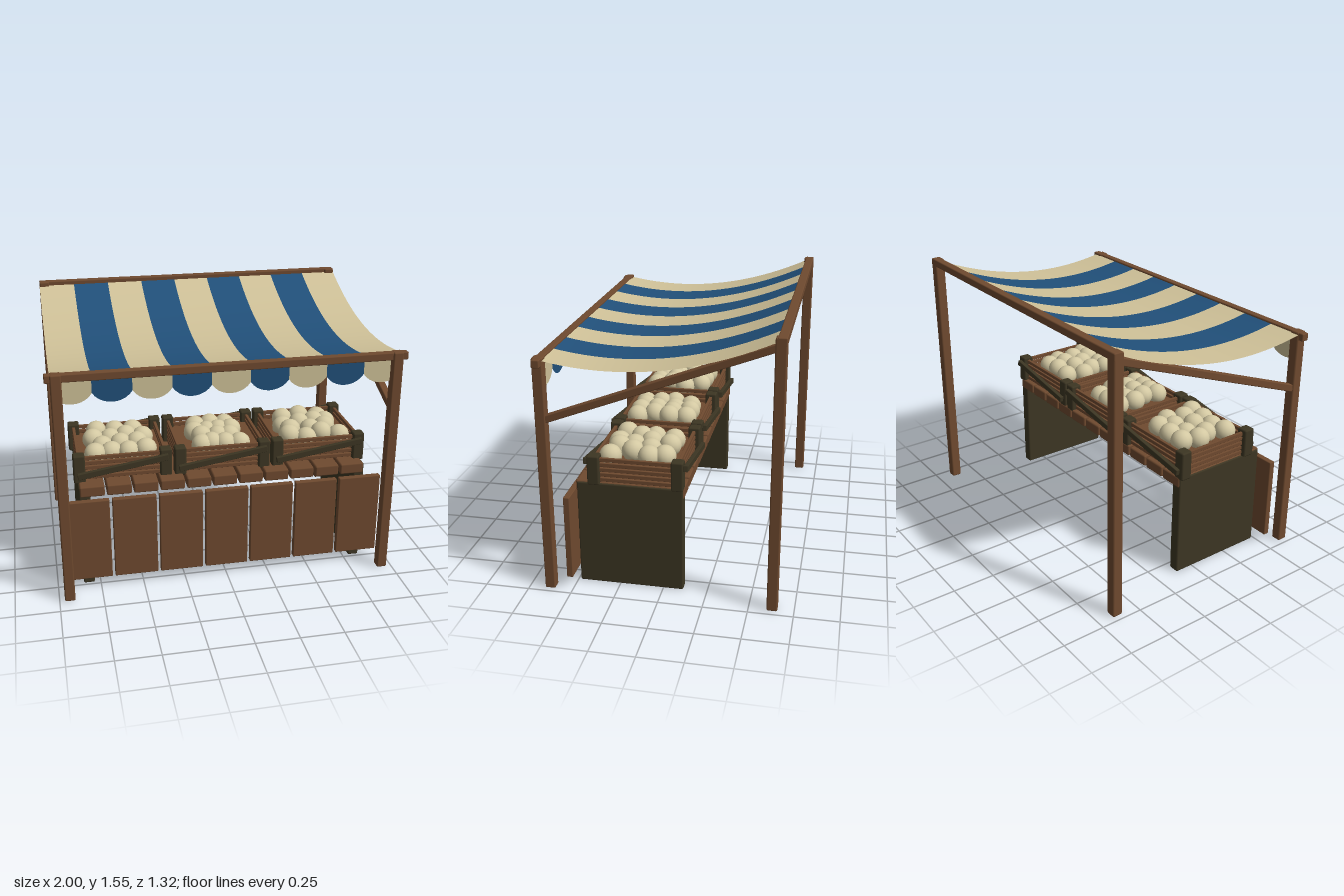
import * as THREE from 'three';
import { RoundedBoxGeometry } from 'three/addons/geometries/RoundedBoxGeometry.js';

function material(name, color, side = THREE.FrontSide) {
  const m = new THREE.MeshStandardMaterial({ color, side });
  m.name = name;
  return m;
}

export function createModel() {
  const brown = material('brown wood', 0x6f4a2f);
  const dark = material('dark wood', 0x3d3623);
  const cream = material('cream cloth', 0xcfc198, THREE.DoubleSide);
  const blue = material('blue cloth', 0x21507a, THREE.DoubleSide);
  const produce = material('pale produce', 0xd3c8a2);

  const model = new THREE.Group();
  model.name = 'marketStall';

  // Softly bevelled beam given by its size and centre
  function box(parent, name, mat, w, h, d, x, y, z) {
    const r = Math.min(w, h, d) * 0.14;
    const mesh = new THREE.Mesh(new RoundedBoxGeometry(w, h, d, 1, r), mat);
    mesh.position.set(x, y, z);
    mesh.name = name;
    parent.add(mesh);
    return mesh;
  }
  function group(name, parent = model) {
    const g = new THREE.Group();
    g.name = name;
    parent.add(g);
    return g;
  }

  // Frame: posts, sloping side braces and cross beams
  const frame = group('frame');
  for (const s of [-1, 1]) {
    box(frame, 'frontPost', brown, 0.06, 1.37, 0.06, s * 0.94, 0.685, 0.63);
    box(frame, 'backPost', brown, 0.06, 1.548, 0.06, s * 0.94, 0.774, -0.63);
    const brace = box(frame, 'sideBrace', brown, 0.042, 0.042, 1.32, s * 0.943, 1.26, 0);
    brace.rotation.x = Math.atan2(0.46, 1.2);
  }
  box(frame, 'frontBeam', brown, 2, 0.045, 0.045, 0, 1.346, 0.628);
  box(frame, 'backBeam', brown, 1.94, 0.045, 0.05, 0, 1.527, -0.635);

  // Canopy: sagging striped sheet with a scalloped front edge
  const canopy = group('canopy');
  const stripes = 9, sw = 1.94 / stripes, halfDepth = 0.62;
  const sagY = (t) => 1.53 - 0.17 * t - 4 * 0.105 * t * (1 - t);
  for (let i = 0; i < stripes; i++) {
    const mat = i % 2 ? blue : cream;
    const x = -0.97 + sw * (i + 0.5);
    const sheet = new THREE.PlaneGeometry(sw, 2 * halfDepth, 1, 20).rotateX(-Math.PI / 2);
    const p = sheet.attributes.position;
    for (let k = 0; k < p.count; k++) p.setY(k, sagY((p.getZ(k) + halfDepth) / (2 * halfDepth)));
    sheet.computeVertexNormals();
    const stripe = new THREE.Mesh(sheet, mat);
    stripe.name = 'canopyStripe';
    stripe.position.x = x;

    const flap = new THREE.Shape();
    flap.moveTo(-sw / 2, 1.35);
    flap.lineTo(-sw / 2, 1.245);
    flap.bezierCurveTo(-sw * 0.28, 1.17, sw * 0.28, 1.17, sw / 2, 1.245);
    flap.lineTo(sw / 2, 1.35);
    const scallop = new THREE.Mesh(new THREE.ShapeGeometry(flap, 10), mat);
    scallop.name = 'scallop';
    scallop.position.set(x, 0, halfDepth);
    canopy.add(stripe, scallop);
  }

  // Counter: end panels, top planks and front boards
  const counter = group('counter');
  for (const s of [-1, 1]) {
    box(counter, 'endPanel', dark, 0.065, 0.625, 0.6, s * 0.817, 0.3125, 0.185);
  }
  for (let i = 0; i < 11; i++) {
    box(counter, 'topPlank', brown, 0.142, 0.065, 0.612, (i - 5) * 0.1545, 0.598, 0.185);
  }
  for (let i = 0; i < 7; i++) {
    box(counter, 'frontBoard', brown, 0.253, 0.5, 0.036, (i - 3) * 0.2695, 0.312, 0.522);
  }

  // Small repeatable random for the heaps
  let seed = 7;
  const jitter = (a) => {
    seed = (seed * 16807) % 2147483647;
    return (seed / 2147483647 - 0.5) * 2 * a;
  };
  const ball = new THREE.SphereGeometry(0.064, 14, 10);

  // Crates: corner posts, slatted sides, diagonal braces, floor and a heap of produce
  [[-0.585, 0.21], [0, 0.178], [0.583, 0.21]].forEach(([cx, spread]) => {
    const crate = group('crate');
    crate.position.set(cx, 0, 0.15);
    for (const s of [-1, 1]) {
      for (const t of [-1, 1]) {
        box(crate, 'cratePost', dark, 0.068, 0.172, 0.068, s * 0.25, 0.705, t * 0.235);
      }
      for (let i = 0; i < 5; i++) {
        const y = 0.645 + i * 0.0295;
        box(crate, 'longSlat', brown, 0.5, 0.022, 0.018, 0, y, s * 0.235);
        box(crate, 'endSlat', brown, 0.018, 0.022, 0.46, s * 0.25, y, 0);
      }
      const brace = box(crate, 'crateBrace', dark, 0.53, 0.036, 0.025, 0, 0.711, s * 0.281);
      brace.rotation.z = 0.155;
    }
    box(crate, 'crateFloor', brown, 0.49, 0.014, 0.46, 0, 0.715, 0);

    for (let r = 0; r < 4; r++) {
      const n = r % 2 ? 4 : 3;
      for (let c = 0; c < n; c++) {
        const fruit = new THREE.Mesh(ball, produce);
        const reach = (spread - 0.064) * (n === 4 ? 1 : 0.72);
        fruit.position.set(
          (c / (n - 1) * 2 - 1) * reach + jitter(0.012),
          0.757 + jitter(0.01),
          0.01 + (r - 1.5) * 0.095 + jitter(0.014));
        fruit.name = 'produce';
        crate.add(fruit);
      }
    }
  });

  return model;
}
